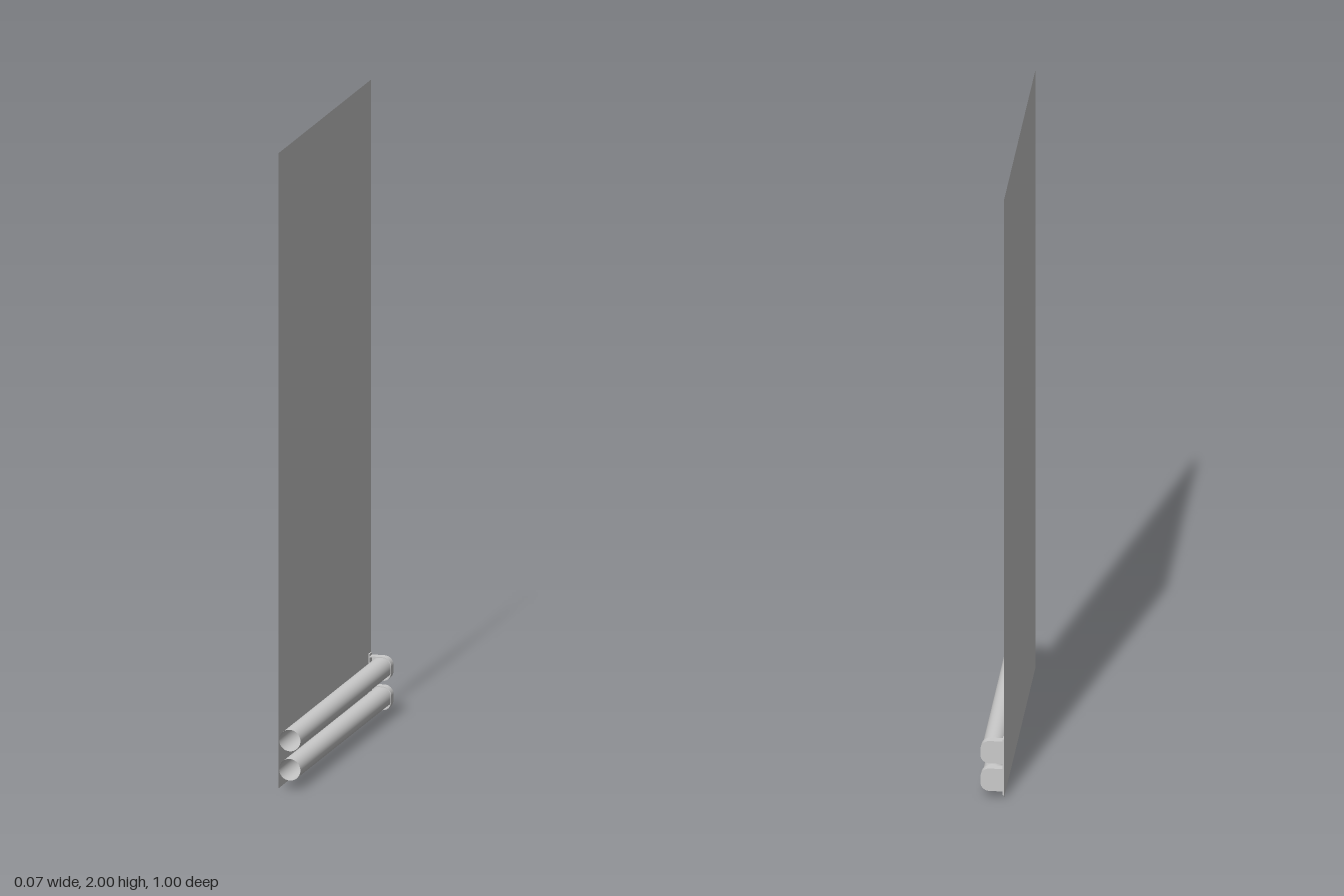
import * as THREE from 'three';

const BACK = -0.036;   // plane of the sheet
const FRONT = 0.036;   // outermost point of the holders
const END = -0.5;      // closed end of the holders

// D-shaped outline: flat against the sheet, rounded towards +x
function traceD(path, y, half, x0, x1, r) {
  path.moveTo(x0, y - half);
  path.lineTo(x1 - r, y - half);
  path.absarc(x1 - r, y - half + r, r, -Math.PI / 2, 0, false);
  path.absarc(x1 - r, y + half - r, r, 0, Math.PI / 2, false);
  path.lineTo(x0, y + half);
  path.closePath();
  return path;
}

export function createModel() {
  const group = new THREE.Group();
  const grey = new THREE.MeshStandardMaterial({ color: 0xcccccc });
  const thin = new THREE.MeshStandardMaterial({ color: 0xcccccc, side: THREE.DoubleSide });

  const add = (name, geometry, material, x, y, z) => {
    const mesh = new THREE.Mesh(geometry, material);
    mesh.name = name;
    mesh.position.set(x, y, z);
    group.add(mesh);
    return mesh;
  };

  // Tall upright sheet
  add('sheet', new THREE.PlaneGeometry(1, 2).rotateY(Math.PI / 2), thin, BACK, 1, 0);

  // Backing strip that carries both holders
  add('backingStrip', new THREE.BoxGeometry(0.004, 0.187, 0.027), grey, BACK + 0.002, 0.1045, END + 0.0135);

  [['upper', 0.153], ['lower', 0.061]].forEach(([level, y]) => {
    // Long open tube
    const tube = new THREE.CylinderGeometry(0.034, 0.034, 0.997, 40, 1, true).rotateX(Math.PI / 2);
    add(level + 'Tube', tube, thin, 0, y, 0.0015);

    // Rim of the holder wrapping the tube end
    const rim = traceD(new THREE.Shape(), y, 0.0375, BACK, FRONT, 0.028);
    rim.holes.push(traceD(new THREE.Path(), y, 0.0345, BACK + 0.002, FRONT - 0.0015, 0.0265));
    const rimGeometry = new THREE.ExtrudeGeometry(rim, { depth: 0.024, bevelEnabled: false, curveSegments: 10 });
    add(level + 'HolderRim', rimGeometry, grey, 0, 0, END + 0.003);

    // Closed end of the holder
    const plate = traceD(new THREE.Shape(), y, 0.0375, BACK, FRONT, 0.028);
    const plateGeometry = new THREE.ExtrudeGeometry(plate, { depth: 0.003, bevelEnabled: false, curveSegments: 10 });
    add(level + 'HolderEnd', plateGeometry, grey, 0, 0, END);
  });

  return group;
}
